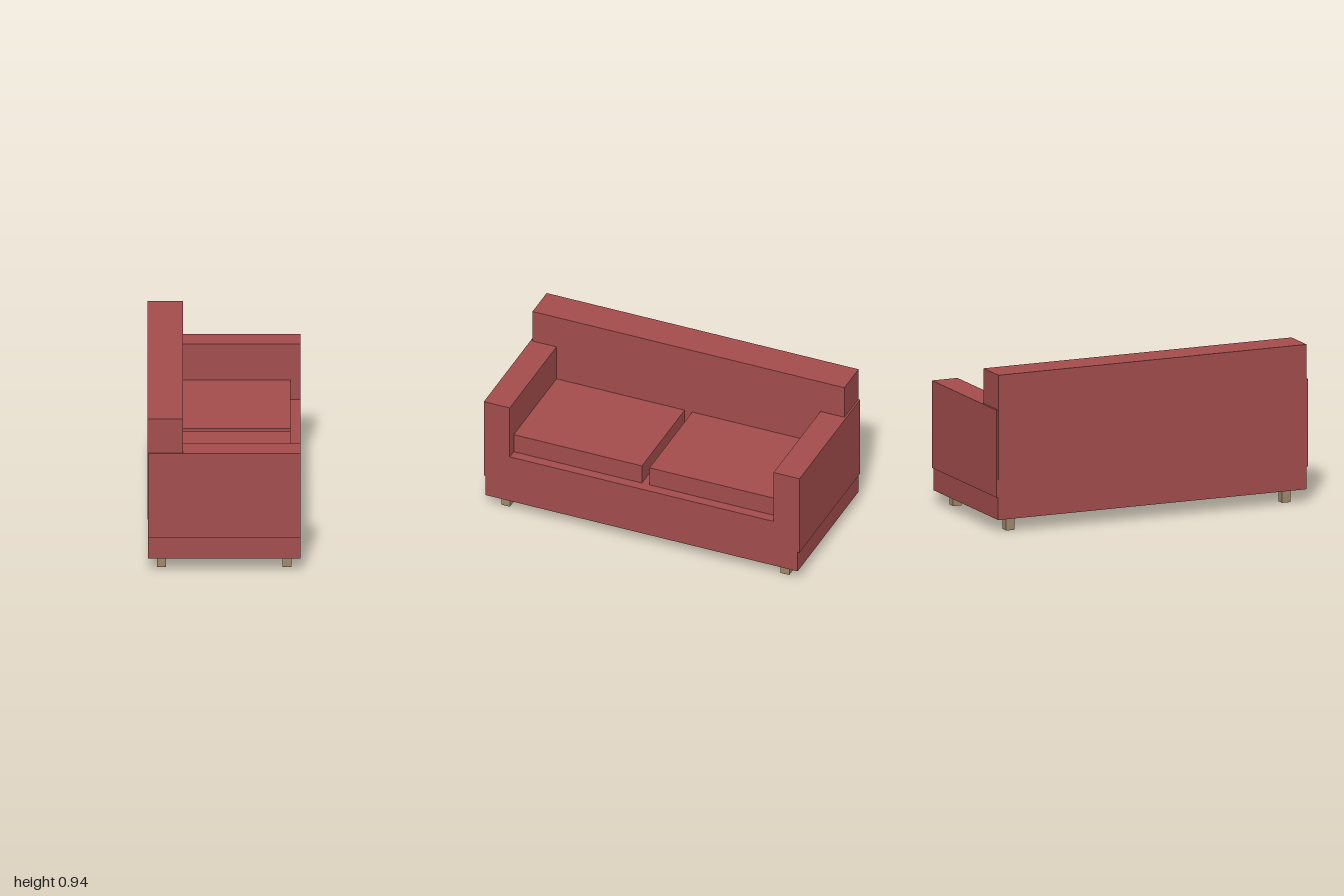
import * as THREE from 'three';

export function createModel() {
  const sofa = new THREE.Group();
  sofa.name = 'sofa';

  const fabric = new THREE.MeshStandardMaterial({ color: 0xa34c4c });
  fabric.name = 'red fabric';
  const wood = new THREE.MeshStandardMaterial({ color: 0xa0876a });
  wood.name = 'light wood';

  // Box given by its minimum and maximum on each axis
  function block(name, material, [x0, x1], [y0, y1], [z0, z1]) {
    const geometry = new THREE.BoxGeometry(x1 - x0, y1 - y0, z1 - z0);
    const mesh = new THREE.Mesh(geometry, material);
    mesh.position.set((x0 + x1) / 2, (y0 + y1) / 2, (z0 + z1) / 2);
    mesh.name = name;
    sofa.add(mesh);
  }

  // Base and backrest; the seat opens towards +x
  block('base', fabric, [-0.443, 0.445], [0.08, 0.39], [-0.988, 0.988]);
  block('backrest', fabric, [-0.447, -0.24], [0.32, 0.943], [-0.988, 0.988]);

  // Mirrored arms, cushions and legs
  for (const side of [-1, 1]) {
    const span = (a, b) => (side > 0 ? [a, b] : [-b, -a]);
    block('armrest', fabric, [-0.443, 0.445], [0.215, 0.735], span(0.836, 1));
    block('seatCushion', fabric, [-0.24, 0.386], [0.39, 0.51], span(0.024, 0.836));
    for (const x of [-0.364, 0.366]) {
      block('leg', wood, [x - 0.026, x + 0.026], [0, 0.076], span(0.858, 0.912));
    }
  }
  return sofa;
}
